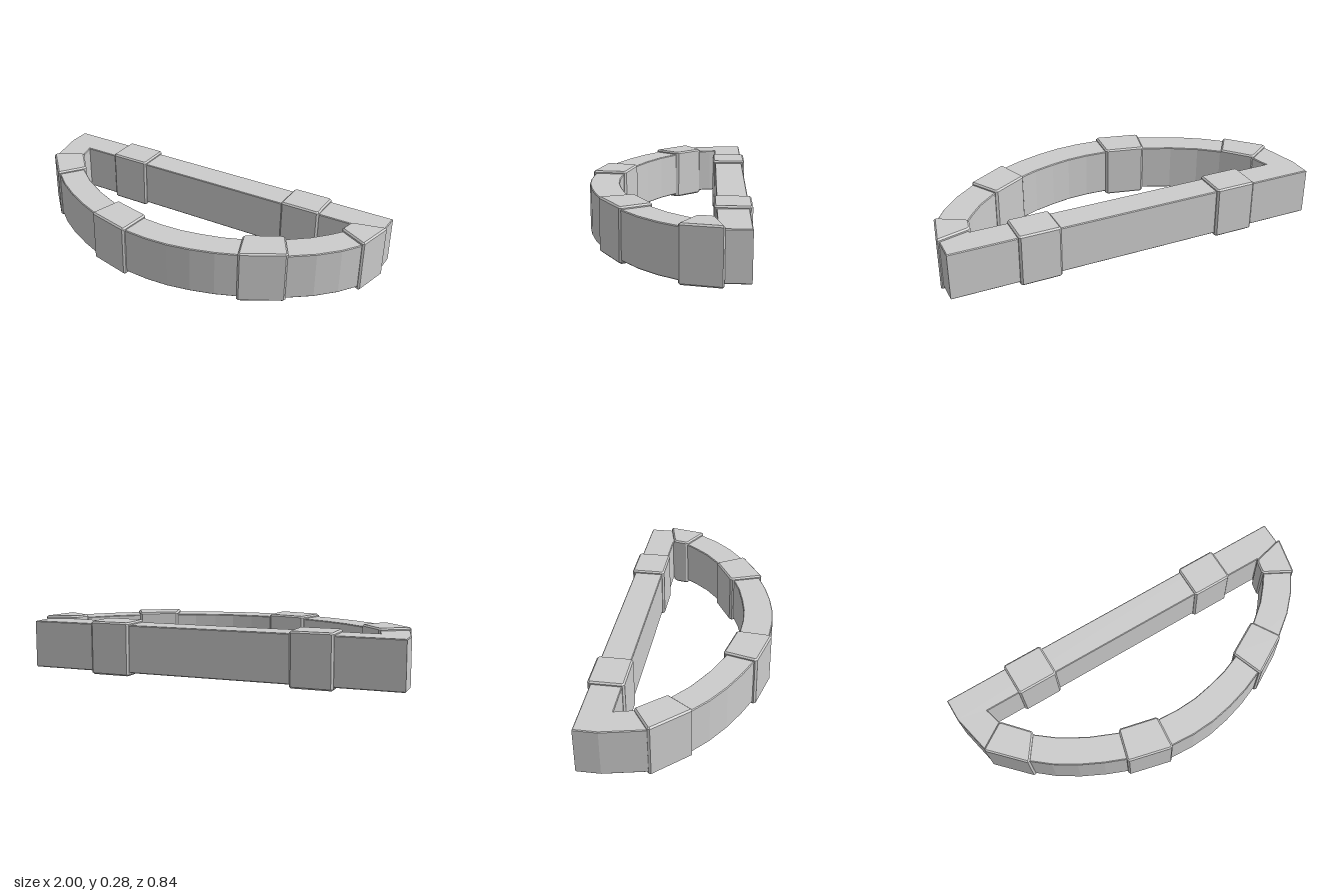
import * as THREE from 'three';

const material = new THREE.MeshStandardMaterial({ color: 0xcccccc, flatShading: true });
const toPoints = (list) => list.map(([x, z]) => new THREE.Vector2(x, -z));

// Extrude a plan outline (x, z) upwards from y0 to y1 with bevelled rims
function slab(name, outline, y0, y1, bevel, hole) {
  const shape = new THREE.Shape(toPoints(outline));
  if (hole) shape.holes.push(new THREE.Path(toPoints(hole)));
  const geo = new THREE.ExtrudeGeometry(shape, {
    depth: y1 - y0 - 2 * bevel, bevelEnabled: true, bevelSegments: 1,
    bevelThickness: bevel, bevelSize: bevel, bevelOffset: -bevel,
  });
  geo.rotateX(-Math.PI / 2);
  geo.translate(0, y0 + bevel, 0);
  const mesh = new THREE.Mesh(geo, material);
  mesh.name = name;
  return mesh;
}

// Cut every corner of a polygon by a fixed distance
function chamfer(poly, d) {
  const out = [];
  poly.forEach((p, i) => {
    for (const q of [poly.at(i - 1), poly[(i + 1) % poly.length]]) {
      const t = d / Math.hypot(q[0] - p[0], q[1] - p[1]);
      out.push([p[0] + (q[0] - p[0]) * t, p[1] + (q[1] - p[1]) * t]);
    }
  });
  return out;
}

export function createModel() {
  const group = new THREE.Group();
  group.name = 'dShapedWall';

  // Continuous wall: straight back and faceted curved front
  const outer = [
    [-1, -0.41], [-1, -0.29], [-0.955, -0.08], [-0.88, 0.01], [-0.79, 0.095], [-0.7, 0.17],
    [-0.59, 0.24], [-0.47, 0.3], [-0.36, 0.345], [-0.24, 0.38], [-0.12, 0.403], [0, 0.41],
    [0.12, 0.403], [0.24, 0.38], [0.36, 0.345], [0.47, 0.3], [0.58, 0.247], [0.68, 0.185],
    [0.79, 0.1], [0.88, 0.005], [0.945, -0.09], [0.985, -0.28], [0.985, -0.41],
  ];
  const inner = [
    [-0.845, -0.255], [-0.835, -0.225], [-0.82, -0.16], [-0.7, -0.015], [-0.6, 0.065],
    [-0.47, 0.14], [-0.33, 0.2], [-0.22, 0.228], [-0.11, 0.247], [0, 0.253], [0.11, 0.247],
    [0.21, 0.228], [0.32, 0.2], [0.42, 0.16], [0.51, 0.112], [0.59, 0.06], [0.7, -0.03],
    [0.77, -0.11], [0.815, -0.17], [0.83, -0.255],
  ];
  group.add(slab('wall', outer, 0.018, 0.266, 0.004, inner));

  // Raised blocks wrapped around the wall
  const blocks = {
    backBlockRight: [[-0.66, -0.425], [-0.44, -0.425], [-0.44, -0.243], [-0.66, -0.243]],
    backBlockLeft: [[0.423, -0.425], [0.64, -0.425], [0.64, -0.243], [0.423, -0.243]],
    sideBlockRight: [[-0.963, -0.073], [-0.82, -0.167], [-0.697, -0.028], [-0.793, 0.107]],
    frontBlockRight: [[-0.32, 0.187], [-0.113, 0.235], [-0.13, 0.418], [-0.367, 0.36]],
    frontBlockLeft: [[0.408, 0.145], [0.592, 0.043], [0.682, 0.193], [0.47, 0.317]],
    sideBlockLeft: [[0.803, -0.165], [0.955, -0.082], [1, -0.292], [0.82, -0.247]],
  };
  for (const [name, poly] of Object.entries(blocks)) {
    const tall = name === 'sideBlockLeft' ? 0.002 : 0;
    group.add(slab(name, chamfer(poly, 0.01), 0.002 - tall, 0.28 + tall, 0.008));
  }
  return group;
}
